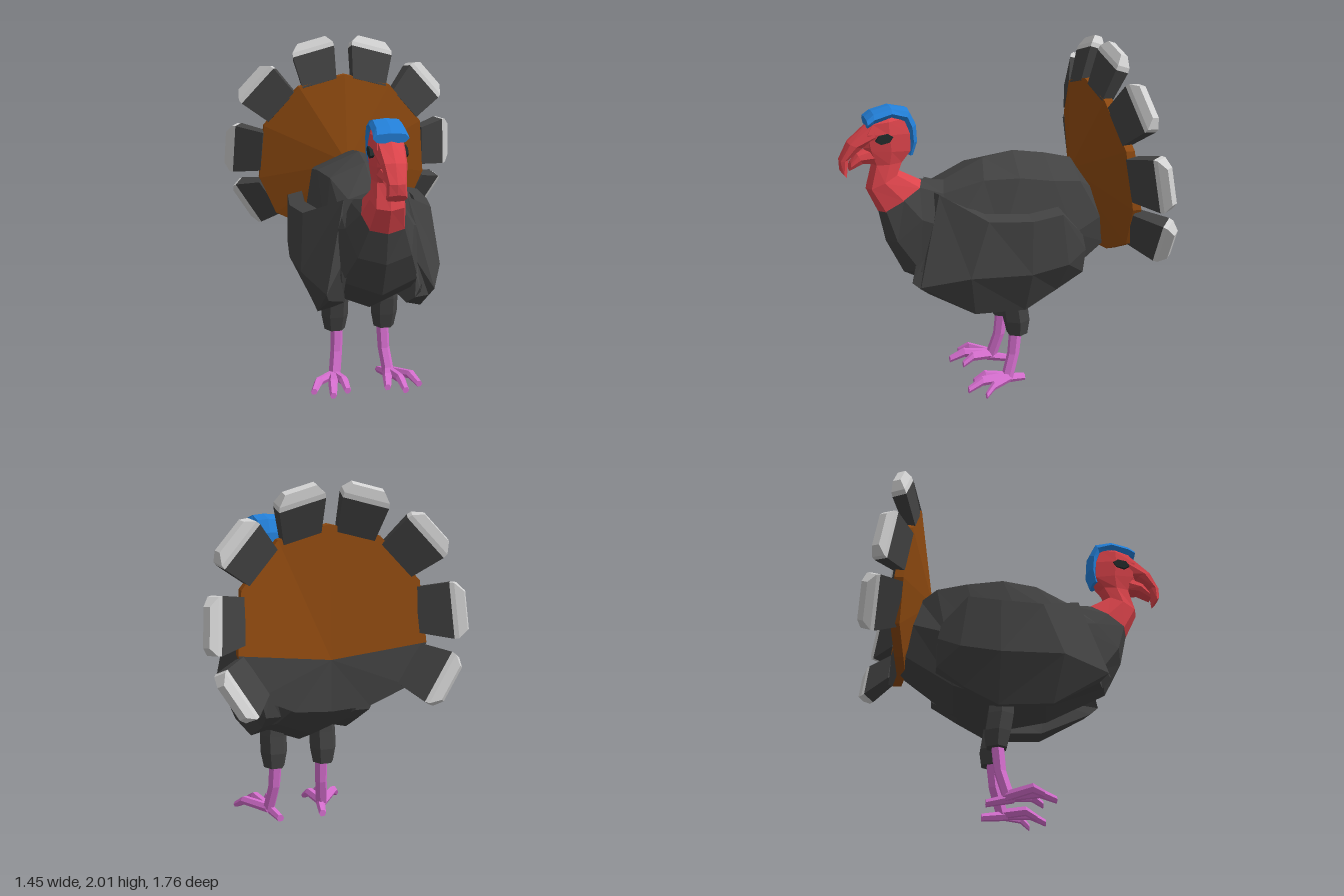
import * as THREE from 'three';

const mat = (name, color) => {
  const m = new THREE.MeshStandardMaterial({ color });
  m.name = name;
  return m;
};

// Flat-shaded mesh from a list of corners, three per triangle
function soup(name, corners, material) {
  const g = new THREE.BufferGeometry().setFromPoints(corners);
  g.computeVertexNormals();
  const mesh = new THREE.Mesh(g, material);
  mesh.name = name;
  return mesh;
}

// Closed solid through equal-sized rings, turned outward by its signed volume
function solid(name, rings, material) {
  const n = rings[0].length, out = [];
  for (let r = 0; r < rings.length - 1; r++) {
    for (let i = 0; i < n; i++) {
      const j = (i + 1) % n, A = rings[r], B = rings[r + 1];
      out.push(A[i], A[j], B[j], A[i], B[j], B[i]);
    }
  }
  const cap = (ring, flip) => {
    const c = ring.reduce((s, p) => s.add(p), new THREE.Vector3()).divideScalar(n);
    for (let i = 0; i < n; i++) {
      const p = ring[i], q = ring[(i + 1) % n];
      out.push(c, flip ? q : p, flip ? p : q);
    }
  };
  cap(rings[0], true);
  cap(rings[rings.length - 1], false);
  const origin = rings[0][0];
  let vol = 0;
  for (let i = 0; i < out.length; i += 3) {
    const [a, b, c] = [0, 1, 2].map(k => out[i + k].clone().sub(origin));
    vol += a.dot(b.cross(c));
  }
  if (vol < 0) for (let i = 0; i < out.length; i += 3) [out[i + 1], out[i + 2]] = [out[i + 2], out[i + 1]];
  return soup(name, out, material);
}

// Eight-sided section between two [z, y] points with half width w
const ring = ([za, ya, zb, yb, w]) => Array.from({ length: 8 }, (_, i) => {
  const a = i * Math.PI / 4, f = i % 2 ? 1.1 : 1, u = Math.cos(a) * f;
  return new THREE.Vector3(w * Math.sin(a) * f, (ya + yb) / 2 + u * (ya - yb) / 2, (za + zb) / 2 + u * (za - zb) / 2);
});
const loft = (name, sections, material) => solid(name, sections.map(ring), material);

// Bent limb: horizontal or vertical hexagonal sections along a path of [x, y, z, radius]
function limb(name, path, upright, s, material) {
  return solid(name, path.map(([x, y, z, r]) => Array.from({ length: 6 }, (_, i) => {
    const a = i * Math.PI / 3, c = r * Math.cos(a), d = r * Math.sin(a);
    return new THREE.Vector3(s * (x + c), y + (upright ? 0 : d), z + (upright ? d : 0));
  })), material);
}

export function createModel() {
  const dark = mat('charcoal feathers', 0x424242), brown = mat('brown fan', 0x8f4a10);
  const red = mat('red skin', 0xdc444b), blue = mat('blue crown', 0x2380d9);
  const pink = mat('pink legs', 0xd76fd0), pale = mat('pale feather tips', 0xd2d2d2);
  const black = mat('eye', 0x222a2a);
  const model = new THREE.Group();
  model.name = 'turkey';
  const V = (x, y, z) => new THREE.Vector3(x, y, z);

  // Body, each section running from back line to belly line
  model.add(loft('body', [
    [0.43, 1.27, 0.68, 1.12, 0.12],
    [0.30, 1.26, 0.64, 0.93, 0.19],
    [0.07, 1.37, 0.54, 0.73, 0.27],
    [-0.11, 1.40, 0.20, 0.55, 0.32],
    [-0.30, 1.37, -0.10, 0.48, 0.32],
    [-0.46, 1.33, -0.33, 0.58, 0.27],
    [-0.52, 1.24, -0.63, 0.80, 0.21],
  ], dark));

  // Neck and head
  const head = new THREE.Group();
  head.name = 'head';
  model.add(head);
  head.add(loft('neck', [
    [0.42, 1.265, 0.68, 1.11, 0.122],
    [0.56, 1.34, 0.745, 1.25, 0.095],
    [0.53, 1.40, 0.71, 1.39, 0.08],
    [0.47, 1.46, 0.75, 1.48, 0.09],
    [0.47, 1.56, 0.77, 1.57, 0.095],
    [0.51, 1.65, 0.73, 1.62, 0.085],
    [0.57, 1.68, 0.66, 1.67, 0.05],
  ], red));
  head.add(loft('upperBeak', [
    [0.71, 1.635, 0.68, 1.48, 0.085],
    [0.84, 1.52, 0.755, 1.49, 0.07],
    [0.89, 1.42, 0.835, 1.43, 0.052],
    [0.885, 1.365, 0.85, 1.325, 0.055],
  ], red));
  head.add(loft('lowerBeak', [
    [0.72, 1.48, 0.68, 1.39, 0.07],
    [0.79, 1.455, 0.76, 1.395, 0.055],
    [0.825, 1.41, 0.835, 1.36, 0.042],
  ], red));
  head.add(loft('crown', [
    [0.74, 1.655, 0.735, 1.60, 0.095],
    [0.70, 1.685, 0.70, 1.62, 0.09],
    [0.60, 1.71, 0.60, 1.65, 0.088],
    [0.50, 1.69, 0.53, 1.62, 0.085],
    [0.46, 1.61, 0.52, 1.58, 0.085],
    [0.455, 1.51, 0.51, 1.51, 0.08],
    [0.48, 1.43, 0.52, 1.44, 0.065],
  ], blue));

  // Tail fan: edge points run clockwise from the top
  const half = [[0, 1.79, -0.54], [0.28, 1.72, -0.55], [0.49, 1.48, -0.60], [0.52, 1.15, -0.64],
    [0.42, 0.92, -0.65], [0.21, 0.82, -0.62], [0, 0.80, -0.60]];
  const edge = [...half, ...half.slice(1, -1).reverse().map(([x, y, z]) => [-x, y, z])].map(p => V(...p));
  const rear = edge.map(p => p.clone().add(V(0, 0, -0.05)));
  const front = V(0, 1.26, -0.46), back = V(0, 1.08, -0.64);
  const fan = [], under = [];
  edge.forEach((e, i) => {
    const j = (i + 1) % edge.length;
    fan.push(front, edge[j], e, e, edge[j], rear[j], e, rear[j], rear[i]);
    (i >= 3 && i < 9 ? under : fan).push(back, rear[i], rear[j]);
  });
  model.add(soup('tailFan', fan, brown), soup('tailUnderside', under, dark));

  // Tail feathers: base centre, tip centre, half width
  const feathers = [
    [[0.15, 1.73, -0.57], [0.185, 1.985, -0.66], [0.26, -0.07, -0.01], 0.13],
    [[0.375, 1.59, -0.60], [0.56, 1.765, -0.69], [0.21, -0.23, -0.04], 0.145],
    [[0.49, 1.32, -0.64], [0.705, 1.33, -0.78], [0.02, -0.31, -0.05], 0.15],
    [[0.44, 1.03, -0.67], [0.60, 0.955, -0.85], [-0.15, -0.24, -0.02], 0.15],
  ];
  for (const s of [1, -1]) {
    const sv = ([x, y, z]) => V(s * x, y, z);
    const side = s > 0 ? 'left' : 'right';
    feathers.forEach(([b, t, w, hw], k) => {
      const base = sv(b), tip = sv(t), wide = sv(w).normalize();
      const thick = tip.clone().sub(base).cross(wide).normalize();
      const section = (f, a, h) => [[1, 1], [1, -1], [-1, -1], [-1, 1]].map(([p, q]) =>
        base.clone().lerp(tip, f).addScaledVector(wide, p * a * hw).addScaledVector(thick, q * h));
      model.add(solid(side + 'TailFeather' + (k + 1), [section(0, 0.82, 0.03), section(0.72, 1, 0.04)], dark));
      model.add(solid(side + 'FeatherTip' + (k + 1),
        [section(0.72, 1, 0.04), section(0.82, 0.98, 0.038), section(1, 0.68, 0.022)], pale));
    });

    // Folded wing: columns from shoulder to rear, each top, crease, bottom
    const columns = [
      [[0.18, 1.23, 0.37], [0.30, 0.74, 0.51], [0.28, 0.69, 0.46]],
      [[0.37, 1.11, 0.14], [0.40, 0.80, 0.25], [0.30, 0.545, 0.20]],
      [[0.41, 1.10, -0.10], [0.415, 0.79, -0.10], [0.29, 0.53, -0.10]],
      [[0.395, 1.12, -0.28], [0.395, 0.82, -0.32], [0.28, 0.63, -0.29]],
      [[0.34, 0.97, -0.42], [0.34, 0.88, -0.44], [0.30, 0.73, -0.44]],
    ];
    model.add(solid(side + 'Wing', columns.map((c, i) => {
      const inner = c.map(([x, y, z]) => sv([x - 0.085, y + (i && i < 4 ? 0.02 : 0), z + (i ? 0 : 0.03)]));
      return [...c.map(sv), ...inner.reverse()];
    }), dark));

    // Eye
    const eye = new THREE.Mesh(new THREE.CylinderGeometry(0.05, 0.05, 0.02, 6).toNonIndexed(), black);
    eye.geometry.scale(1, 1, 0.55);
    eye.geometry.rotateZ(Math.PI / 2);
    eye.geometry.rotateY(Math.PI / 2);
    eye.geometry.rotateZ(Math.PI / 2);
    eye.geometry.computeBoundingBox();
    // Lay the plate flat against the cheek whichever axis is thin
    eye.geometry = new THREE.CylinderGeometry(1, 1, 1, 6).rotateZ(Math.PI / 2).scale(0.022, 0.028, 0.05).toNonIndexed();
    eye.geometry.computeVertexNormals();
    eye.position.set(s * 0.09, 1.545, 0.65);
    eye.rotation.x = 0.2;
    eye.name = side + 'Eye';
    head.add(eye);

    // Leg and foot
    model.add(limb(side + 'Thigh', [[0.14, 0.62, -0.07, 0.075], [0.15, 0.52, -0.075, 0.08],
      [0.15, 0.42, -0.09, 0.08], [0.15, 0.33, -0.095, 0.062]], true, s, dark));
    model.add(limb(side + 'Shin', [[0.14, 0.35, -0.09, 0.038], [0.145, 0.2, -0.075, 0.036],
      [0.165, 0.05, -0.03, 0.036]], true, s, pink));
    [[0.12, 0.16], [0.215, 0.22], [0.315, 0.14]].forEach(([x, z], i) => {
      model.add(limb(side + 'Toe' + (i + 1), [[0.165, 0.055, -0.05, 0.03],
        [0.165 + (x - 0.165) * 0.75, 0.07, z * 0.6, 0.028], [x, 0.03, z, 0.02]], false, s, pink));
    });
    model.add(limb(side + 'BackToe', [[0.165, 0.05, 0, 0.03], [0.13, 0.025, -0.15, 0.022]], false, s, pink));
  }
  return model;
}
